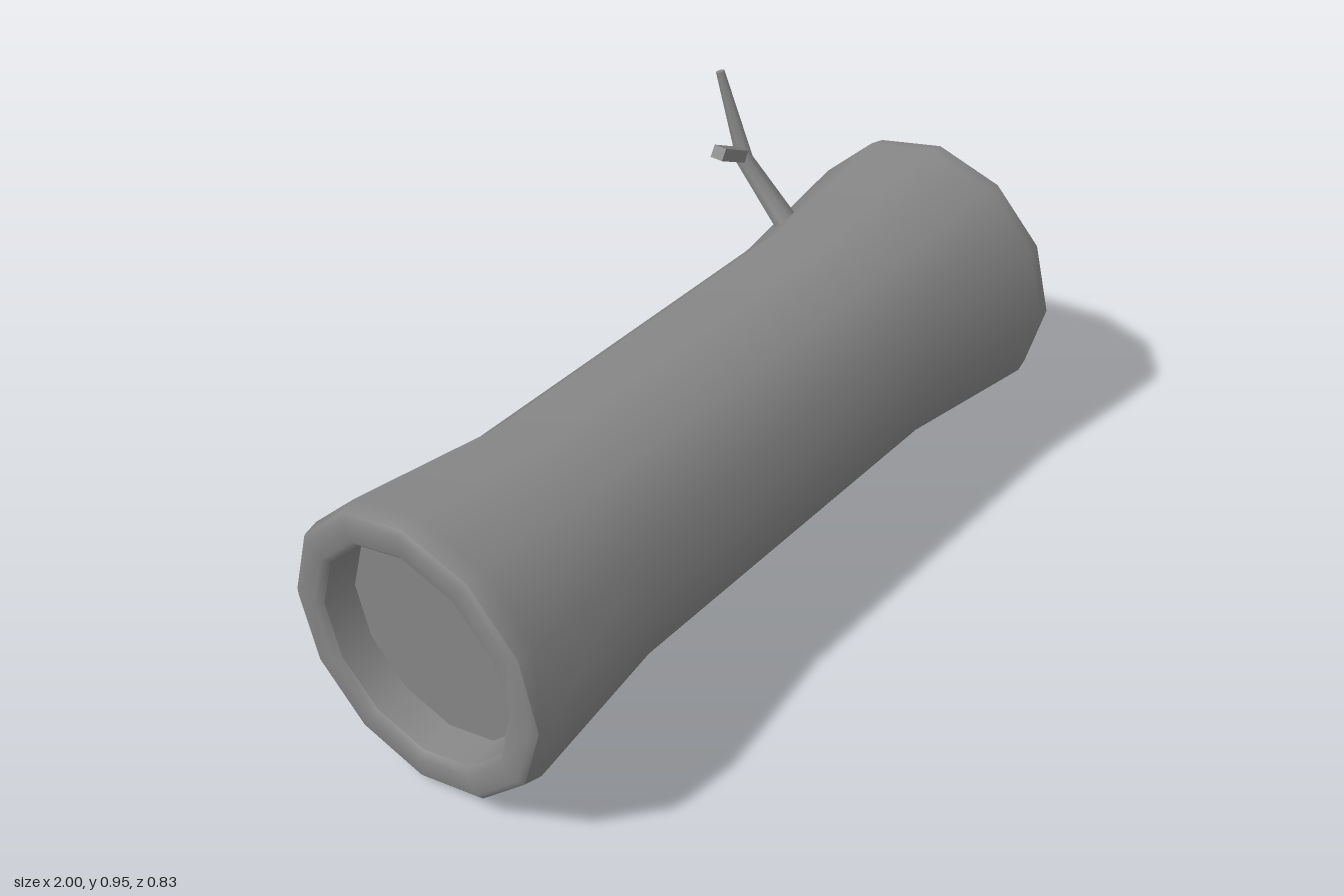
import * as THREE from 'three';

const SIDES = 12;
const material = new THREE.MeshStandardMaterial({ color: 0x868686 });

// Revolves [radius, x] pairs around the x axis
function revolve(name, profile) {
  const geometry = new THREE.LatheGeometry(profile.map(([r, x]) => new THREE.Vector2(r, x)), SIDES);
  geometry.rotateZ(-Math.PI / 2);
  const mesh = new THREE.Mesh(geometry, material);
  mesh.name = name;
  return mesh;
}

// Tapered limb with regular cross-sections along a bent path
function limb(name, points, radii, sides, faceted) {
  const path = points.map((p) => new THREE.Vector3(...p));
  const last = path.length - 1;
  const positions = [], index = [];
  path.forEach((p, i) => {
    const dir = path[Math.min(i + 1, last)].clone().sub(path[Math.max(i - 1, 0)]).normalize();
    const u = new THREE.Vector3(0, 0, 1).cross(dir).normalize();
    const v = dir.clone().cross(u);
    for (let j = 0; j < sides; j++) {
      const a = ((j + 0.5) / sides) * Math.PI * 2;
      const q = p.clone().addScaledVector(u, Math.cos(a) * radii[i]).addScaledVector(v, Math.sin(a) * radii[i]);
      positions.push(q.x, q.y, q.z);
      if (i < last) {
        const k = i * sides + j, n = i * sides + (j + 1) % sides;
        index.push(k, n, n + sides, k, n + sides, k + sides);
      }
    }
  });
  // Flat ends with their own corners, so the edges stay sharp
  for (const end of [0, last]) {
    const start = positions.length / 3;
    positions.push(...positions.slice(end * sides * 3, (end + 1) * sides * 3));
    for (let j = 1; j < sides - 1; j++) {
      index.push(start, ...(end ? [start + j, start + j + 1] : [start + j + 1, start + j]));
    }
  }
  let geometry = new THREE.BufferGeometry();
  geometry.setAttribute('position', new THREE.Float32BufferAttribute(positions, 3));
  geometry.setIndex(index);
  if (faceted) geometry = geometry.toNonIndexed();
  geometry.computeVertexNormals();
  const mesh = new THREE.Mesh(geometry, material);
  mesh.name = name;
  return mesh;
}

export function createModel() {
  const model = new THREE.Group();
  model.name = 'hollowLog';

  const log = new THREE.Group();
  log.name = 'log';
  log.position.set(0, 0.371, 0.049);
  model.add(log);

  // Waisted bark, flaring towards both ends and rounded in at the rims
  log.add(revolve('bark', [
    [0.361, -0.988], [0.37, -0.945], [0.317, -0.53],
    [0.317, 0.53], [0.37, 0.945], [0.361, 0.988]
  ]));

  // Both ends: rounded rim, shallow hollow and its floor
  for (const side of ['left', 'right']) {
    const end = new THREE.Group();
    end.name = side + 'End';
    end.add(
      revolve('rim', [[0.361, 0.988], [0.345, 1], [0.295, 1], [0.278, 0.985]]),
      revolve('hollowWall', [[0.278, 0.985], [0.269, 0.9]]),
      revolve('hollowFloor', [[0.269, 0.9], [0, 0.9]])
    );
    if (side === 'right') end.rotation.y = Math.PI;
    log.add(end);
  }

  // Bent branch with a square-cut side twig
  model.add(
    limb('branch', [[0.64, 0.578, -0.182], [0.645, 0.71, -0.325], [0.64, 0.943, -0.405]], [0.034, 0.024, 0.012], 8, false),
    limb('twig', [[0.64, 0.725, -0.33], [0.49, 0.815, -0.291]], [0.023, 0.023], 4, true)
  );
  return model;
}
